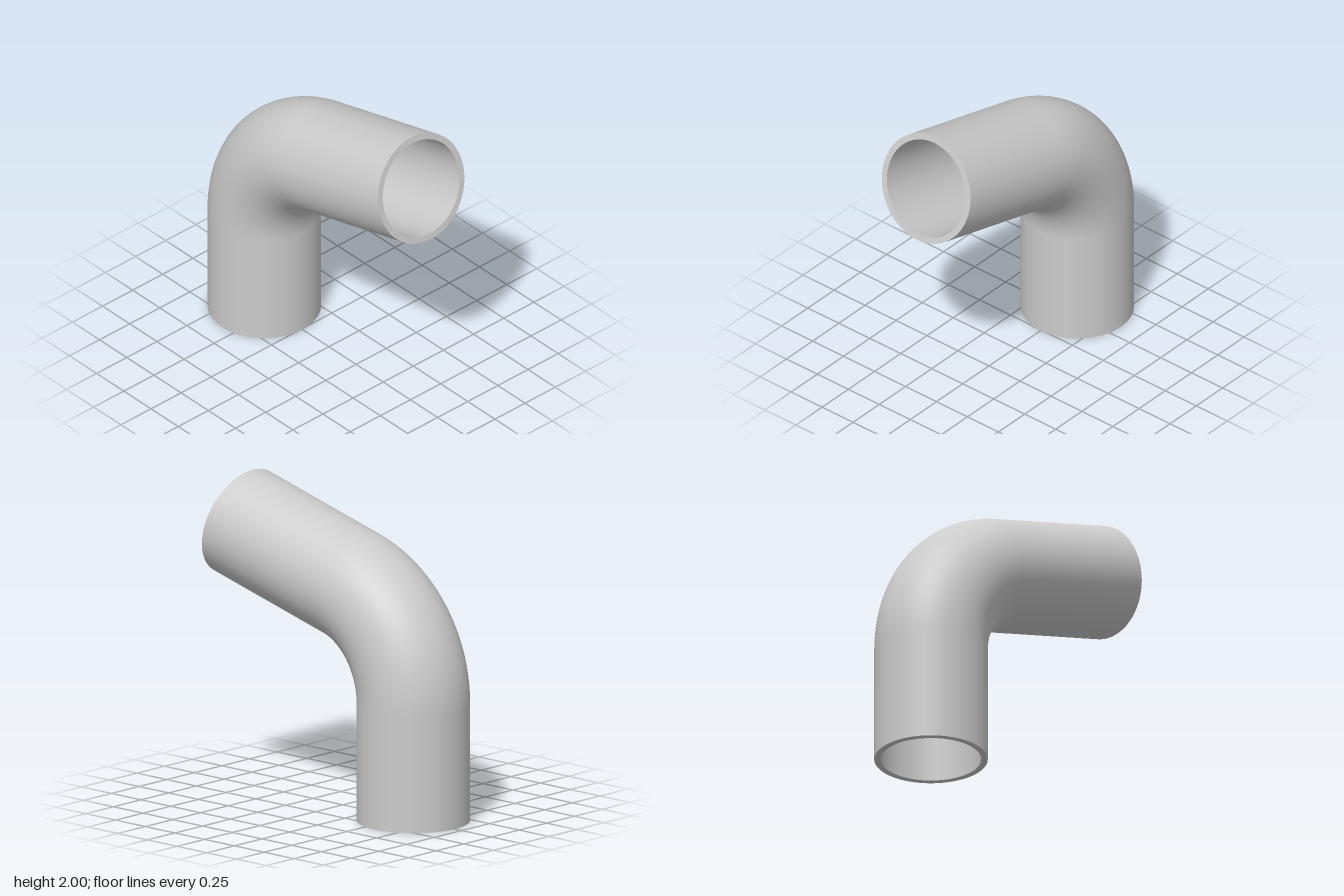
import * as THREE from 'three';

const OUTER = 0.35, INNER = 0.31;      // wall radii
const BEND = 0.7, ARC = THREE.MathUtils.degToRad(75);
const LEG = 0.738, ARM = 0.955;        // straight lengths below and beyond the bend
const BASE_X = -0.593;
const SIDES = 64;

export function createModel() {
  const group = new THREE.Group();
  group.name = 'bentPipe';
  const solid = new THREE.MeshStandardMaterial({ color: 0xcccccc });
  const open = new THREE.MeshStandardMaterial({ color: 0xcccccc, side: THREE.DoubleSide });

  const add = (name, geometry, material) => {
    const mesh = new THREE.Mesh(geometry, material);
    mesh.name = name;
    group.add(mesh);
    return mesh;
  };

  // Centreline: up the leg, around the bend, out along the arm
  const bendCentre = new THREE.Vector3(BASE_X + BEND, LEG, 0);
  const armStart = new THREE.Vector3(-Math.cos(ARC), Math.sin(ARC), 0).multiplyScalar(BEND).add(bendCentre);
  const armDir = new THREE.Vector3(Math.sin(ARC), Math.cos(ARC), 0);
  const along = (d) => armStart.clone().addScaledVector(armDir, d);

  // Outer and inner walls share the same three sections
  for (const [name, radius] of [['outer', OUTER], ['inner', INNER]]) {
    const material = name === 'outer' ? solid : open;
    add(name + 'Leg', new THREE.CylinderGeometry(radius, radius, LEG, SIDES, 1, true), material)
      .position.set(BASE_X, LEG / 2, 0);

    const bend = add(name + 'Bend', new THREE.TorusGeometry(BEND, radius, SIDES, 40, ARC), material);
    bend.position.copy(bendCentre);
    bend.rotation.z = Math.PI - ARC;

    const arm = add(name + 'Arm', new THREE.CylinderGeometry(radius, radius, ARM, SIDES, 1, true), material);
    arm.position.copy(along(ARM / 2));
    arm.rotation.z = -ARC;
  }

  // Flat rims closing the wall thickness at both open ends
  const rim = new THREE.RingGeometry(INNER, OUTER, SIDES).rotateX(-Math.PI / 2);
  const bottom = add('bottomRim', rim, solid);
  bottom.position.x = BASE_X;
  bottom.rotation.z = Math.PI;
  const top = add('armRim', rim, solid);
  top.position.copy(along(ARM));
  top.rotation.z = -ARC;

  return group;
}
